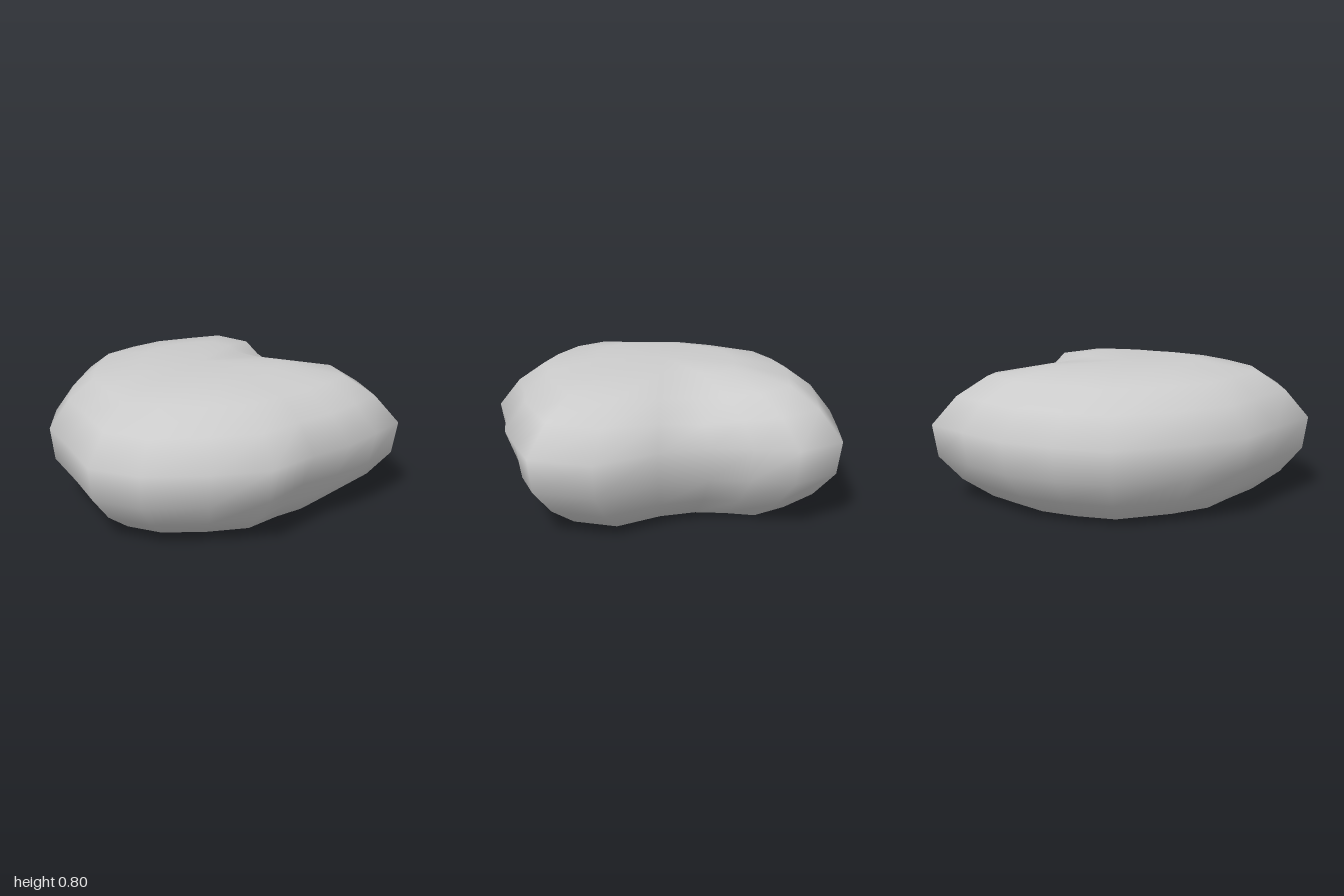
import * as THREE from 'three';

// Plan outline at the widest level, as [x, z] running back, left, front, right
const OUTLINE = [
  [0.15, -1], [0.47, -0.95], [0.75, -0.9], [0.89, -0.63], [0.82, -0.4], [0.78, -0.17], [0.83, 0.12],
  [0.99, 0.47], [0.86, 0.8], [0.62, 0.87], [0.36, 0.94], [0.1, 0.95], [-0.21, 1], [-0.52, 0.88],
  [-0.83, 0.7], [-1, 0.46], [-0.95, 0.1], [-0.92, -0.21], [-0.75, -0.5], [-0.45, -0.85], [-0.15, -0.95],
];

// Levels as [height, outline scale], from the base to the top
const LEVELS = [
  [0.01, 0.4], [0.02, 0.71], [0.14, 0.86], [0.29, 0.975], [0.48, 1],
  [0.64, 0.875], [0.75, 0.72], [0.805, 0.41],
];

const bump = (x, z, cx, cz, r) => Math.exp(-((x - cx) ** 2 + (z - cz) ** 2) / (r * r));

function pebbleGeometry() {
  const n = OUTLINE.length, pos = [], index = [];
  for (const [y, s] of LEVELS) {
    for (const [ox, oz] of OUTLINE) {
      // hollow under the front, and a shallow valley leading in from the side notch
      const k = s - (y > 0.1 && y < 0.4 ? 0.06 * bump(ox, oz, 0.2, 0.95, 0.3) : 0);
      const x = ox * k, z = oz * k;
      const dip = y > 0.6 ? 0.06 * bump(x, z, 0.65, -0.12, 0.3) : 0;
      pos.push(x, y - dip, z);
    }
  }
  const base = pos.length / 3, top = base + 1, last = (LEVELS.length - 1) * n;
  pos.push(0, 0.005, 0, 0, 0.8, 0);
  for (let j = 0; j < n; j++) {
    const k = (j + 1) % n;
    index.push(base, j, k, last + j, top, last + k);
    for (let i = 0; i < last; i += n) {
      index.push(i + j, i + n + j, i + k, i + k, i + n + j, i + n + k);
    }
  }
  const g = new THREE.BufferGeometry();
  g.setAttribute('position', new THREE.Float32BufferAttribute(pos, 3));
  g.setIndex(index);
  g.computeVertexNormals();
  return g;
}

export function createModel() {
  const model = new THREE.Group();
  model.name = 'pebble';
  const stone = new THREE.Mesh(pebbleGeometry(), new THREE.MeshStandardMaterial({ color: 0xcccccc }));
  stone.name = 'stone';
  model.add(stone);
  return model;
}
